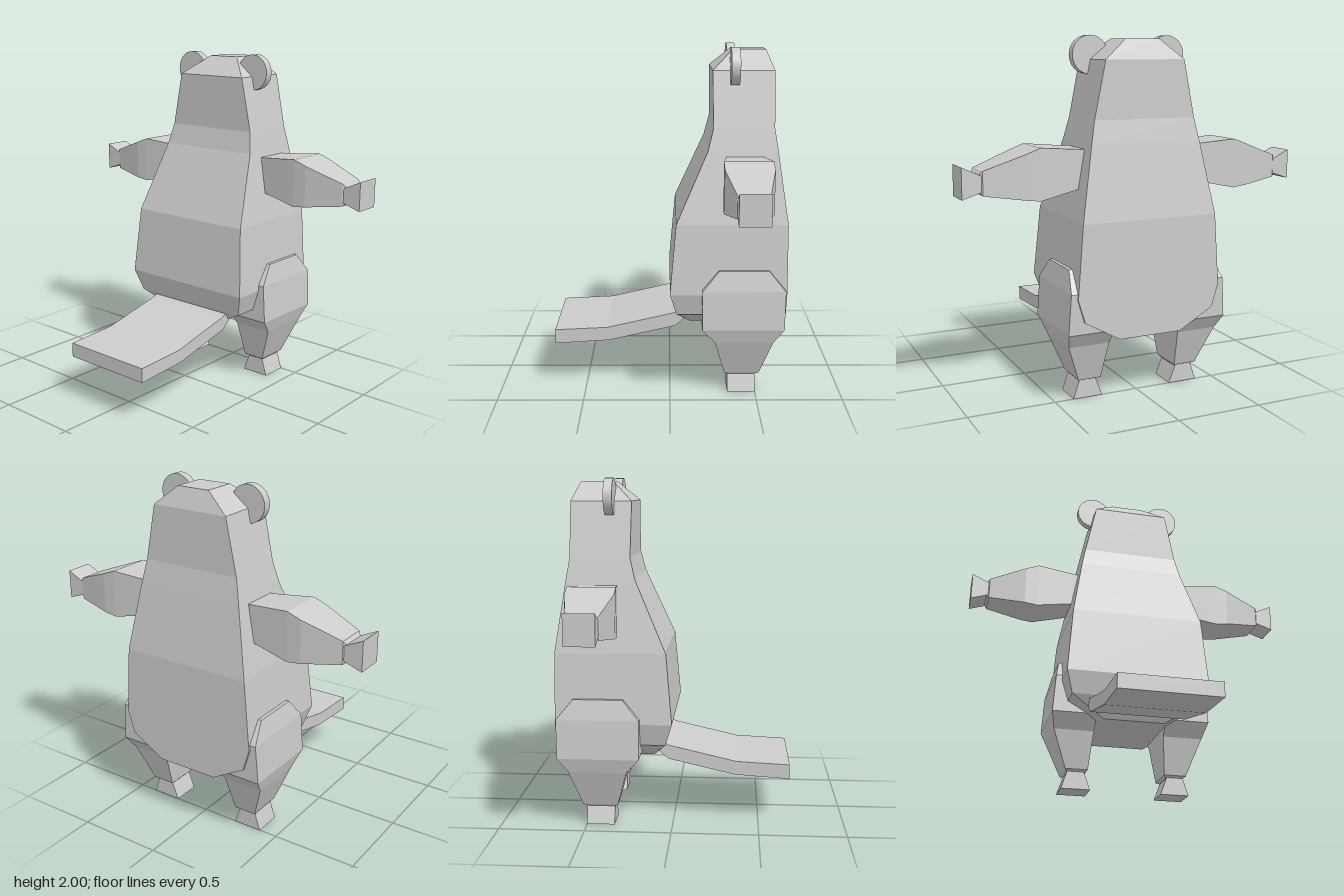
import * as THREE from 'three';

const material = new THREE.MeshStandardMaterial({ color: 0xcccccc, flatShading: true });
const smooth = new THREE.MeshStandardMaterial({ color: 0xcccccc });

// Skins a stack of rectangles, lowest first: [y, x0, x1, z0, z1]
function loft(sections) {
  const rings = sections.map(([y, x0, x1, z0, z1]) =>
    [[x0, y, z0], [x0, y, z1], [x1, y, z1], [x1, y, z0]]);
  const out = [];
  const quad = (a, b, c, d) => out.push(...a, ...b, ...c, ...a, ...c, ...d);
  for (let s = 0; s < rings.length - 1; s++) {
    for (let i = 0; i < 4; i++) {
      const j = (i + 1) % 4;
      quad(rings[s][i], rings[s][j], rings[s + 1][j], rings[s + 1][i]);
    }
  }
  quad(...rings[rings.length - 1]);
  quad(...[...rings[0]].reverse());
  const geo = new THREE.BufferGeometry();
  geo.setAttribute('position', new THREE.Float32BufferAttribute(out, 3));
  geo.computeVertexNormals();
  return geo;
}

// Reflects a triangle soup across z = 0, keeping faces outward
function mirrorZ(geo) {
  const p = geo.attributes.position, out = [];
  for (let t = 0; t < p.count; t += 3) {
    for (const k of [t, t + 2, t + 1]) out.push(p.getX(k), p.getY(k), -p.getZ(k));
  }
  const copy = new THREE.BufferGeometry();
  copy.setAttribute('position', new THREE.Float32BufferAttribute(out, 3));
  copy.computeVertexNormals();
  return copy;
}

export function createModel() {
  const model = new THREE.Group();
  const add = (name, geo, mat = material) => {
    const mesh = new THREE.Mesh(geo, mat);
    mesh.name = name;
    model.add(mesh);
    return mesh;
  };
  const addPair = (name, geo) => {
    add(name + 'A', geo);
    add(name + 'B', mirrorZ(geo));
  };

  // Body and head in one tapering block: y, back x, belly x, half width
  add('body', loft([
    [0.37, 0.12, 0.67, 0.185],
    [0.485, 0.04, 0.67, 0.39],
    [0.615, 0.0, 0.67, 0.43],
    [1.02, 0.035, 0.67, 0.40],
    [1.43, 0.215, 0.61, 0.325],
    [1.555, 0.245, 0.59, 0.30],
    [1.87, 0.24, 0.59, 0.235],
    [1.98, 0.36, 0.55, 0.10],
  ].map(([y, x0, x1, w]) => [y, x0, x1, -w, w])));

  // Round ears
  for (const side of [1, -1]) {
    const ear = add(side > 0 ? 'earA' : 'earB',
      new THREE.CylinderGeometry(0.105, 0.105, 0.05, 32), smooth);
    ear.rotation.z = Math.PI / 2;
    ear.position.set(0.365, 1.895, side * 0.235);
  }

  // Arms and hands, lofted outward: distance z, x0, x1, y0, y1
  const sideways = rows => loft(rows.map(([z, x0, x1, y0, y1]) => [z, x0, x1, -y1, -y0]))
    .rotateX(Math.PI / 2);
  addPair('arm', sideways([
    [0.28, 0.325, 0.52, 1.205, 1.395],
    [0.35, 0.315, 0.53, 1.19, 1.40],
    [0.59, 0.288, 0.555, 1.14, 1.42],
    [0.67, 0.288, 0.555, 1.15, 1.39],
    [0.89, 0.335, 0.51, 1.18, 1.31],
    [0.905, 0.35, 0.495, 1.20, 1.29],
  ]));
  addPair('hand', sideways([
    [0.895, 0.34, 0.505, 1.20, 1.285],
    [1.0, 0.34, 0.505, 1.165, 1.335],
  ]));

  // Legs with broad thighs, and flared feet
  addPair('leg', loft([
    [0.1, 0.345, 0.49, 0.25, 0.355],
    [0.115, 0.32, 0.525, 0.235, 0.37],
    [0.335, 0.26, 0.595, 0.215, 0.455],
    [0.42, 0.185, 0.655, 0.21, 0.48],
    [0.645, 0.185, 0.66, 0.21, 0.465],
    [0.76, 0.28, 0.565, 0.21, 0.44],
  ]));
  addPair('foot', loft([
    [0, 0.338, 0.502, 0.215, 0.39],
    [0.105, 0.338, 0.502, 0.255, 0.355],
  ]));

  // Broad flat tail, bent along its length
  const profile = new THREE.Shape([
    [0.1, 0.49], [0.02, 0.455], [-0.37, 0.365], [-0.68, 0.35],
    [-0.68, 0.265], [-0.36, 0.285], [0.03, 0.375], [0.13, 0.46],
  ].map(([x, y]) => new THREE.Vector2(x, y)));
  add('tail', new THREE.ExtrudeGeometry(profile, { depth: 0.57, bevelEnabled: false })
    .translate(0, 0, -0.285));

  return model;
}
